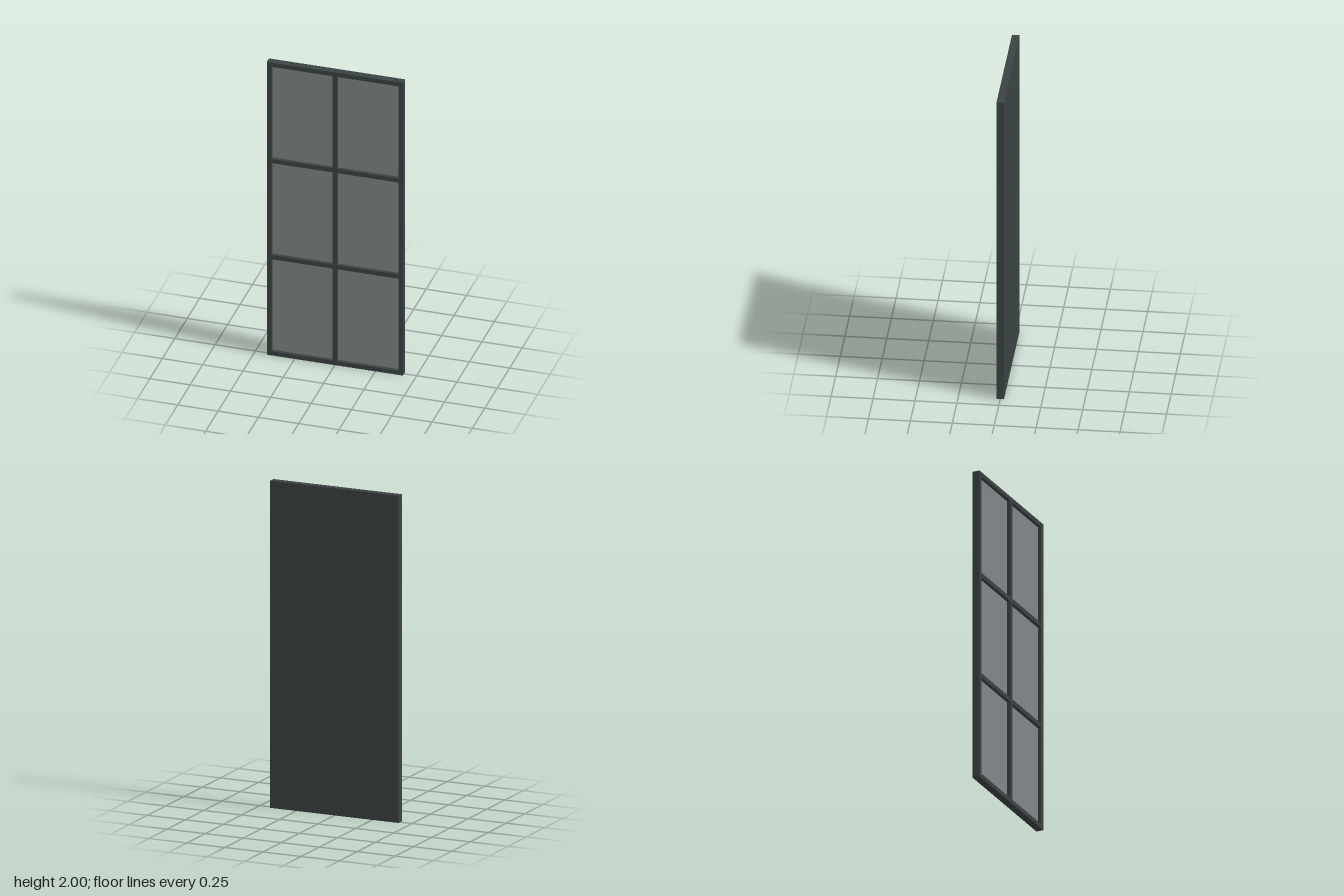
import * as THREE from 'three';

export function createModel() {
  const W = 0.845, H = 2, D = 0.045, BAR = 0.028;
  const backDepth = 0.02, glassDepth = 0.004;
  const frameMat = new THREE.MeshStandardMaterial({ color: 0x3b4242 });
  frameMat.name = 'dark frame';
  const glassMat = new THREE.MeshStandardMaterial({ color: 0x7f8688 });
  glassMat.name = 'grey glass';

  const group = new THREE.Group();
  group.name = 'panelledWindow';
  const add = (name, mat, w, h, d, x, y, z) => {
    const mesh = new THREE.Mesh(new THREE.BoxGeometry(w, h, d), mat);
    mesh.name = name;
    mesh.position.set(x, y, z);
    group.add(mesh);
  };

  // Solid back panel
  add('backPanel', frameMat, W, H, backDepth, 0, H / 2, -D / 2 + backDepth / 2);

  // Frame and glazing bars stand in front of the panel
  const barDepth = D - backDepth, barZ = D / 2 - barDepth / 2;
  const cols = 2, rows = 3;
  const stepX = (W - BAR) / cols, stepY = (H - BAR) / rows;
  const paneW = stepX - BAR, paneH = stepY - BAR;
  const barX = (i) => -W / 2 + BAR / 2 + i * stepX;
  const barY = (j) => BAR / 2 + j * stepY;

  for (let i = 0; i <= cols; i++) {
    const outer = i === 0 || i === cols;
    add(outer ? 'sideStile' : 'verticalBar', frameMat, BAR, H, barDepth, barX(i), H / 2, barZ);
  }
  for (let i = 0; i < cols; i++) {
    const x = barX(i) + stepX / 2;
    for (let j = 0; j <= rows; j++) {
      const name = j === 0 ? 'bottomRail' : j === rows ? 'topRail' : 'horizontalBar';
      add(name, frameMat, paneW, BAR, barDepth, x, barY(j), barZ);
    }
    // Recessed panes
    for (let j = 0; j < rows; j++) {
      add('glassPane', glassMat, paneW, paneH, glassDepth,
        x, barY(j) + stepY / 2, -D / 2 + backDepth + glassDepth / 2);
    }
  }
  return group;
}
